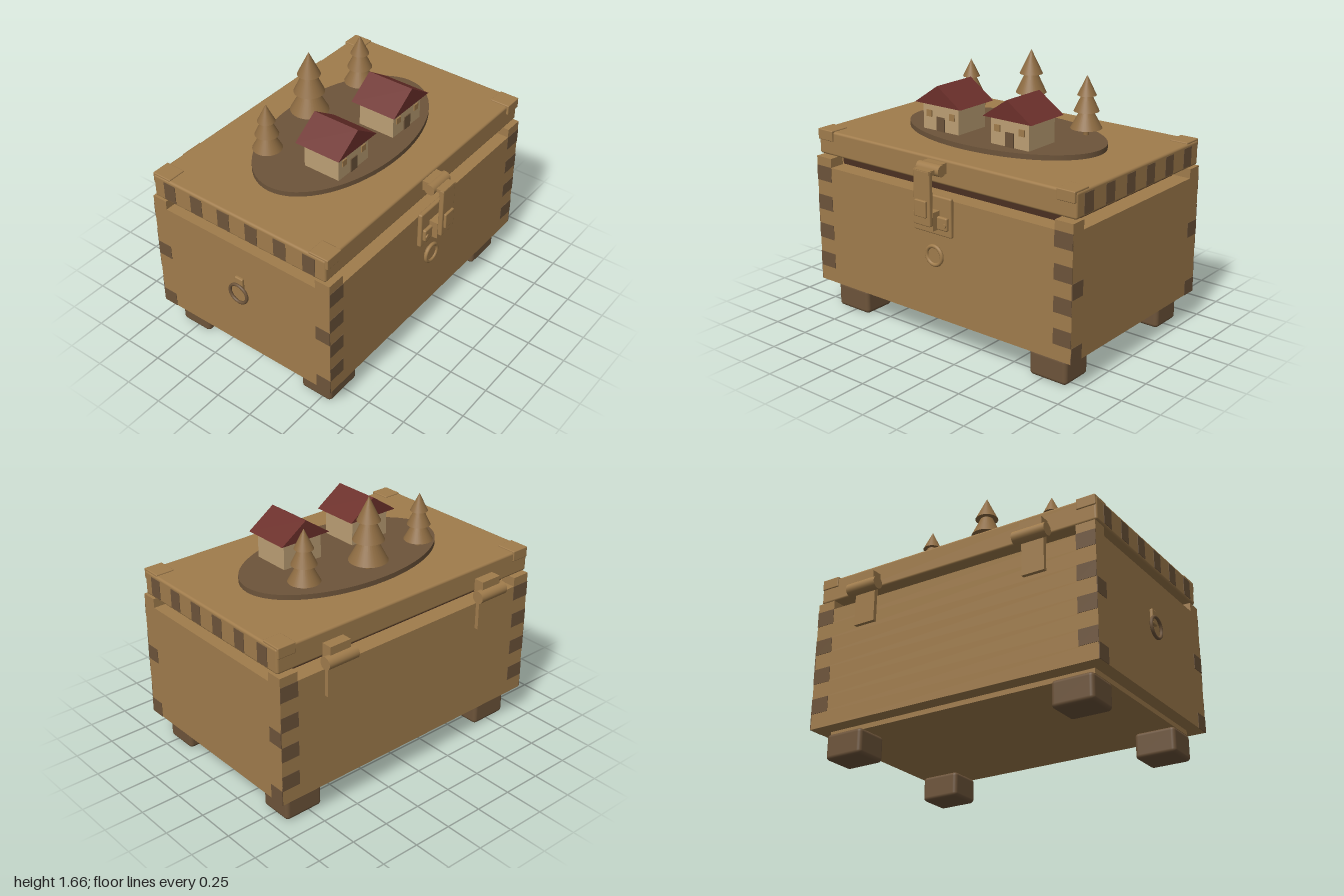
import * as THREE from 'three';
import { RoundedBoxGeometry } from 'three/addons/geometries/RoundedBoxGeometry.js';

const mat = (name, color) => {
  const m = new THREE.MeshStandardMaterial({ color });
  m.name = name;
  return m;
};

export function createModel() {
  const wood = mat('honey wood', 0xa07c4c);
  const dark = mat('dark wood', 0x6d543a);
  const rimMat = mat('lining brown', 0x4a3021);
  const roofMat = mat('roof red', 0x6c302b);
  const wallMat = mat('wall cream', 0xbc9f74);
  const treeMat = mat('tree wood', 0x8e6c42);

  const root = new THREE.Group();
  root.name = 'woodenChest';

  const add = (parent, name, geo, material, x = 0, y = 0, z = 0) => {
    const m = new THREE.Mesh(geo, material);
    m.name = name;
    m.position.set(x, y, z);
    parent.add(m);
    return m;
  };
  // box given by its limits, with optional rounded edges
  const box = (parent, name, material, [x0, x1], [y0, y1], [z0, z1], r = 0) => {
    const s = [x1 - x0, y1 - y0, z1 - z0];
    const geo = r ? new RoundedBoxGeometry(...s, 3, r) : new THREE.BoxGeometry(...s);
    return add(parent, name, geo, material, (x0 + x1) / 2, (y0 + y1) / 2, (z0 + z1) / 2);
  };
  const group = (name, x = 0, y = 0, z = 0) => {
    const g = new THREE.Group();
    g.name = name;
    g.position.set(x, y, z);
    root.add(g);
    return g;
  };

  // centre and half size of the chest
  const cx = 0.015, cz = -0.025, hx = 0.98, hz = 0.655;
  const X = [cx - hx, cx + hx], Z = [cz - hz, cz + hz];

  // feet and base
  const base = group('base');
  for (const sx of [-1, 1]) for (const sz of [-1, 1]) {
    const fx = cx + sx * 0.774, fz = cz + sz * 0.483;
    box(base, 'foot', dark, [fx - 0.13, fx + 0.13], [0, 0.163], [fz - 0.11, fz + 0.11], 0.025);
  }
  box(base, 'basePlate', wood, [cx - 0.9, cx + 0.9], [0.157, 0.19], [cz - 0.56, cz + 0.56]);

  // stacked planks with dark finger joints at the corners
  const body = group('body');
  const y0 = 0.187, step = 0.096, t = 0.003;
  for (let i = 0; i < 8; i++) {
    const ys = [y0 + i * step, y0 + (i + 1) * step];
    box(body, 'plank', wood, X, ys, Z);
    for (const sx of [-1, 1]) for (const sz of [-1, 1]) {
      const ex = cx + sx * hx, ez = cz + sz * hz;
      if (i % 2) {
        const jx = ex - sx * 0.061;
        box(body, 'fingerJoint', dark, [jx - 0.061, jx + 0.061], ys, [ez - t, ez + t]);
      } else if (i % 4 === 0) {
        const jz = ez - sz * 0.05;
        box(body, 'fingerJoint', dark, [ex - t, ex + t], ys, [jz - 0.05, jz + 0.05]);
      }
    }
  }
  const top = y0 + 8 * step;
  for (const sx of [-1, 1]) for (const sz of [-1, 1]) {
    const px = cx + sx * (hx - 0.061), pz = cz + sz * (hz - 0.05);
    box(body, 'cornerPost', wood, [px - 0.061, px + 0.061], [top, 1.013], [pz - 0.05, pz + 0.05]);
  }
  box(body, 'innerRim', rimMat, [cx - 0.865, cx + 0.865], [top, 1.01], [cz - 0.54, cz + 0.54]);

  // lid with inlaid side strips and corner caps
  const lid = group('lid');
  const lz = [-0.66, 0.603];
  box(lid, 'lidBoard', wood, X, [1.025, 1.18], lz, 0.015);
  for (const sx of [-1, 1]) {
    const ex = cx + sx * hx;
    for (let i = 0; i < 6; i++) {
      const z = 0.491 - i * 0.205;
      box(lid, 'lidFinger', dark, [ex - t, ex + t], [1.04, 1.16], [z - 0.043, z + 0.043]);
    }
    for (const sz of [-1, 1]) {
      const px = cx + sx * (hx - 0.066), pz = cz + sz * 0.575;
      box(lid, 'cornerCap', wood, [px - 0.061, px + 0.061], [1.12, 1.188], [pz - 0.066, pz + 0.066], 0.006);
    }
  }

  // rear hinges
  for (const s of [-1, 1]) {
    const hinge = group('hinge', cx + s * 0.594);
    const barrel = add(hinge, 'hingeBarrel', new THREE.CylinderGeometry(0.04, 0.04, 0.215, 24), wood, 0, 1.02, -0.722);
    barrel.rotation.z = Math.PI / 2;
    box(hinge, 'upperLeaf', wood, [-0.073, 0.073], [1.03, 1.11], [-0.727, -0.65]);
    box(hinge, 'lowerLeaf', wood, [-0.073, 0.073], [0.785, 1.01], [-0.705, -0.675]);
  }

  // front latch
  const latch = group('latch', cx);
  const roll = add(latch, 'latchBarrel', new THREE.CylinderGeometry(0.035, 0.035, 0.17, 24), wood, 0, 1.132, 0.66);
  roll.rotation.z = Math.PI / 2;
  box(latch, 'latchMount', wood, [-0.07, 0.07], [1.1, 1.165], [0.595, 0.655]);
  box(latch, 'latchLink', wood, [-0.06, 0.06], [1.12, 1.143], [0.66, 0.744]);
  box(latch, 'latchArm', wood, [-0.062, 0.062], [0.81, 1.143], [0.714, 0.745], 0.008);
  box(latch, 'latchBoss', wood, [-0.043, 0.043], [0.865, 0.967], [0.74, 0.76], 0.006);
  box(latch, 'backPlate', wood, [-0.145, 0.145], [0.733, 0.975], [0.628, 0.658], 0.01);
  box(latch, 'lockPlate', wood, [-0.13, 0.13], [0.778, 0.86], [0.655, 0.68], 0.01);
  box(latch, 'lockBlock', wood, [-0.06, 0.06], [0.778, 0.89], [0.655, 0.715]);
  for (const s of [-1, 1]) {
    const screw = add(latch, 'screw', new THREE.CylinderGeometry(0.015, 0.015, 0.01, 16), wood, s * 0.112, 0.812, 0.682);
    screw.rotation.x = Math.PI / 2;
  }

  // round medallion below the latch
  const medallion = group('medallion', cx, 0.593, 0.63);
  add(medallion, 'medallionRing', new THREE.TorusGeometry(0.058, 0.012, 10, 32), wood, 0, 0, 0.014);
  const disc = add(medallion, 'medallionDisc', new THREE.CylinderGeometry(0.058, 0.058, 0.02, 32), wood, 0, 0, 0.005);
  disc.rotation.x = Math.PI / 2;

  // pull ring on the right side
  const pull = group('pullRing', X[0], 0, cz);
  box(pull, 'pullMount', wood, [-0.018, 0.005], [0.635, 0.73], [-0.03, 0.03], 0.008);
  const ring = add(pull, 'ring', new THREE.TorusGeometry(0.064, 0.01, 10, 32), dark, -0.023, 0.616, 0);
  ring.rotation.y = Math.PI / 2;

  // oval ground for the village
  const ground = add(root, 'ovalGround', new THREE.CylinderGeometry(1, 1, 0.035, 64), dark, cx, 1.194, -0.028);
  ground.scale.set(0.697, 1, 0.407);

  // houses
  const gable = new THREE.Shape([
    new THREE.Vector2(-0.179, 0), new THREE.Vector2(0.179, 0), new THREE.Vector2(0, 0.122),
  ]);
  const roofGeo = new THREE.ExtrudeGeometry(gable, { depth: 0.312, bevelEnabled: false });
  for (const s of [-1, 1]) {
    const house = group('house', 0.006 + s * 0.265, 1.21, 0);
    box(house, 'walls', wallMat, [-0.14, 0.14], [0, 0.168], [0.01, 0.257]);
    add(house, 'roof', roofGeo, roofMat, 0, 0.168, -0.024);
    box(house, 'door', dark, [-0.03, 0.03], [0, 0.09], [0.256, 0.264]);
    for (const w of [-1, 1]) {
      const wx = w * 0.09;
      box(house, 'window', wood, [wx - 0.02, wx + 0.02], [0.083, 0.124], [0.256, 0.264]);
    }
  }

  // fir trees: position and scale, three cone tiers each
  const tiers = [[0.12, 0.055, 0.225], [0.096, 0.185, 0.205], [0.072, 0.305, 0.15]];
  for (const [x, z, s] of [[0.013, -0.283, 1], [-0.435, -0.24, 0.75], [0.463, -0.24, 0.81]]) {
    const tree = group('tree', x, 1.21, z);
    tree.scale.setScalar(s);
    add(tree, 'trunk', new THREE.CylinderGeometry(0.022, 0.022, 0.08, 16), treeMat, 0, 0.04, 0);
    for (const [r, y, h] of tiers) {
      add(tree, 'foliage', new THREE.ConeGeometry(r, h, 32), treeMat, 0, y + h / 2, 0);
    }
  }

  return root;
}
